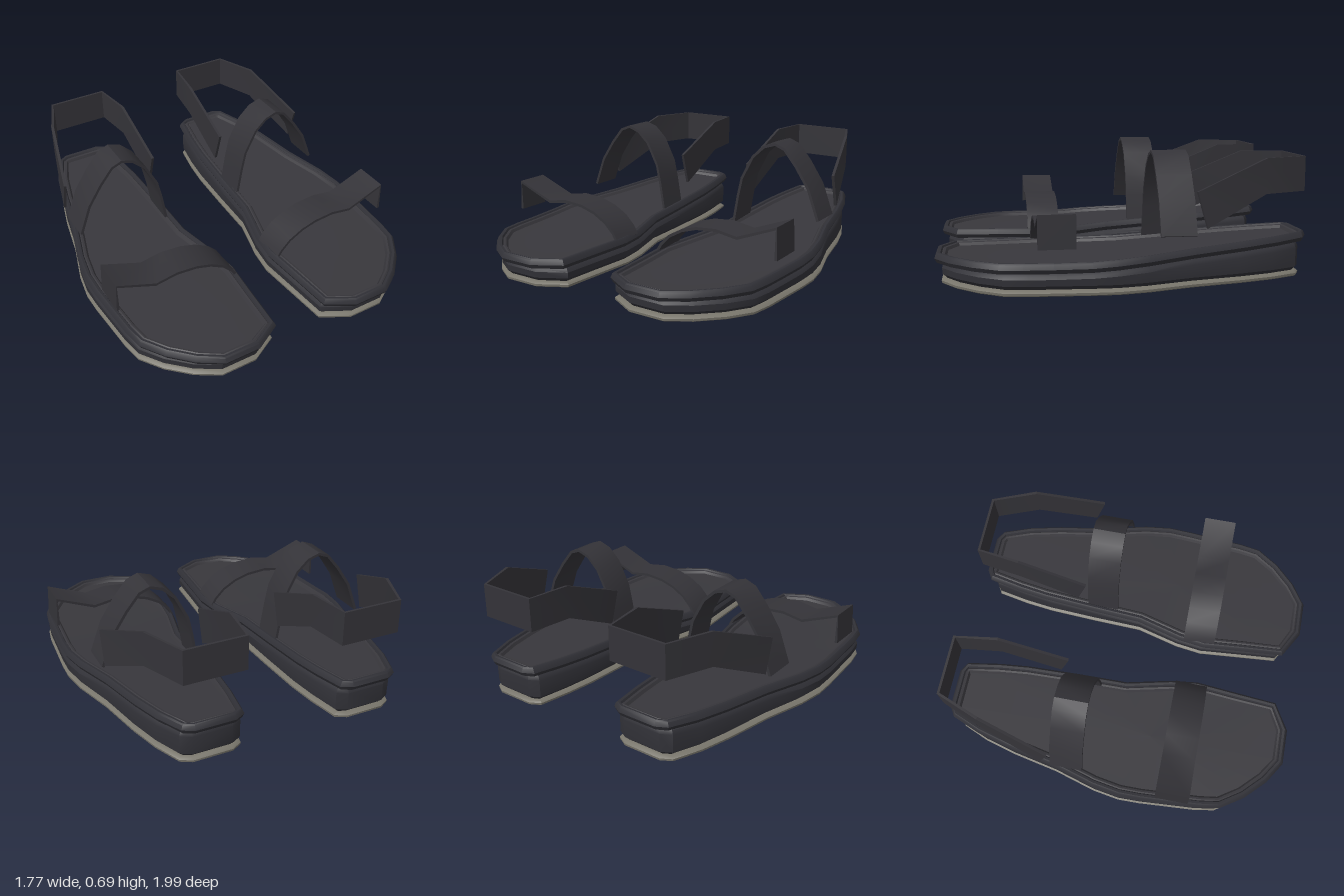
import * as THREE from 'three';
import { toCreasedNormals } from 'three/addons/utils/BufferGeometryUtils.js';

// Plan outline of the left sandal as [x, z]: heel, outer side, toe, inner side
const OUTLINE = [
  [0.34, -0.995], [0.56, -0.995], [0.62, -0.96], [0.685, -0.8], [0.735, -0.61], [0.79, -0.33],
  [0.86, -0.08], [0.885, 0.08], [0.883, 0.21], [0.87, 0.4], [0.86, 0.55], [0.84, 0.67],
  [0.755, 0.8], [0.685, 0.87], [0.64, 0.915], [0.515, 0.995], [0.31, 0.995], [0.155, 0.905],
  [0.135, 0.66], [0.115, 0.42], [0.135, 0.26], [0.2, 0], [0.21, -0.3], [0.225, -0.6],
  [0.245, -0.77], [0.28, -0.96],
];

// The upper sole climbs toward the heel
const lift = (z) => Math.max(0, 0.25 - z) * 0.065;

// Stack of inset outlines; each level is [inset, height, share of heel lift]
function loft(levels, zScale, capBottom, capTop) {
  const n = OUTLINE.length;
  const ring = ([inset, y, share]) => OUTLINE.map(([x, z], i) => {
    const [px, pz] = OUTLINE[(i + n - 1) % n], [qx, qz] = OUTLINE[(i + 1) % n];
    const dx = qx - px, dz = qz - pz, len = Math.hypot(dx, dz);
    const nz = (z + (dx / len) * inset) * zScale;
    return [x - (dz / len) * inset, y + lift(nz) * share, nz];
  });
  const rings = levels.map(ring);
  const pos = [];
  const tri = (a, b, c) => pos.push(...a, ...b, ...c);
  const centre = ([, y, share]) => [0.5, y + lift(0.2) * share, 0.2];
  const last = rings.length - 1;
  for (let i = 0; i < n; i++) {
    const j = (i + 1) % n;
    for (let k = 0; k < last; k++) {
      const a = rings[k], b = rings[k + 1];
      tri(a[j], a[i], b[i]);
      tri(a[j], b[i], b[j]);
    }
    if (capBottom) tri(centre(levels[0]), rings[0][i], rings[0][j]);
    if (capTop) tri(centre(levels[last]), rings[last][j], rings[last][i]);
  }
  const g = new THREE.BufferGeometry();
  g.setAttribute('position', new THREE.Float32BufferAttribute(pos, 3));
  return g;
}

// Thin band following a 2D path, extruded to the given width
function band(points, width, thickness = 0.016) {
  const offset = (s) => points.map(([x, y], i) => {
    const p = points[Math.max(0, i - 1)], q = points[Math.min(points.length - 1, i + 1)];
    const dx = q[0] - p[0], dy = q[1] - p[1], len = Math.hypot(dx, dy);
    return new THREE.Vector2(x - (dy / len) * s, y + (dx / len) * s);
  });
  const shape = new THREE.Shape([...offset(thickness / 2), ...offset(-thickness / 2).reverse()]);
  return new THREE.ExtrudeGeometry(shape, { depth: width, bevelEnabled: false });
}

// Heel strap: band around the heel, sheared down toward its front ends
function heelBand() {
  const plan = [[0.235, -0.35], [0.24, -0.72], [0.272, -0.96], [0.605, -0.96], [0.7, -0.72], [0.795, -0.35]];
  const g = band(plan.map(([x, z]) => [x, -z]), 0.187);
  g.rotateX(-Math.PI / 2);
  const p = g.attributes.position;
  for (let i = 0; i < p.count; i++) {
    const z = p.getZ(i), y = p.getY(i);
    if (z > -0.6) p.setZ(i, z + (y > 0.1 ? 0.02 : -0.035));
    p.setY(i, y + 0.465 - Math.max(0, z + 0.72) * 0.425);
  }
  return g;
}

// Mirror by flipping x and the corner order, then shade with sharp creases
function finish(geometry, side, crease) {
  const g = geometry.index ? geometry.toNonIndexed() : geometry;
  g.deleteAttribute('uv');
  if (side < 0) {
    g.scale(-1, 1, 1);
    const a = g.attributes.position.array;
    for (let t = 0; t < a.length; t += 9) {
      for (let c = 0; c < 3; c++) [a[t + 3 + c], a[t + 6 + c]] = [a[t + 6 + c], a[t + 3 + c]];
    }
  }
  return toCreasedNormals(g, crease);
}

export function createModel() {
  const material = (name, color) => new THREE.MeshStandardMaterial({ name, color });
  const footbedMat = material('charcoal footbed', 0x38373c);
  const soleMat = material('dark midsole', 0x303036);
  const strapMat = material('dark strap', 0x343338);
  const outsoleMat = material('grey outsole', 0x77746a);

  const model = new THREE.Group();
  model.name = 'sandals';

  for (const side of [1, -1]) {
    const sandal = new THREE.Group();
    sandal.name = side > 0 ? 'leftSandal' : 'rightSandal';
    model.add(sandal);
    const add = (name, geometry, mat, crease = 0.55) => {
      const mesh = new THREE.Mesh(finish(geometry, side, crease), mat);
      mesh.name = name;
      sandal.add(mesh);
    };

    // Sole layers from the ground up
    add('outsole', loft([[0.012, 0, 0], [0.002, 0.006, 0], [0, 0.018, 0], [0.01, 0.026, 0], [0.025, 0.031, 0]],
      0.965, true, true), outsoleMat);
    add('midsole', loft([[0.03, 0.03, 0], [0.022, 0.04, 0], [0.006, 0.052, 0], [0.004, 0.085, 0.9],
      [0.014, 0.1, 1], [0.03, 0.112, 1]], 0.965, true, true), soleMat);
    add('rim', loft([[0.04, 0.108, 1], [0.012, 0.113, 1], [0, 0.135, 1], [0.01, 0.158, 1], [0.018, 0.165, 1],
      [0.032, 0.163, 1], [0.038, 0.152, 1]], 1, true, false), soleMat);
    add('footbed', loft([[0.038, 0.152, 1], [0.045, 0.158, 1], [0.056, 0.155, 1], [0.066, 0.14, 1]],
      1, false, true), footbedMat);

    // Toe strap with a folded loose end on the outer side
    add('toeStrap', band([[0.14, 0.15], [0.165, 0.195], [0.22, 0.25], [0.3, 0.295], [0.39, 0.322], [0.51, 0.332],
      [0.635, 0.312], [0.858, 0.4], [0.86, 0.235]], 0.19).translate(0, 0, 0.29), strapMat);

    // Ankle strap arching over the instep
    add('ankleStrap', band([[0.25, 0.16], [0.28, 0.34], [0.305, 0.455], [0.375, 0.59], [0.445, 0.655],
      [0.515, 0.678], [0.575, 0.655], [0.65, 0.565], [0.73, 0.445], [0.795, 0.27]], 0.188).translate(0, 0, -0.333), strapMat);

    add('heelStrap', heelBand(), strapMat, 0.3);
  }
  return model;
}
